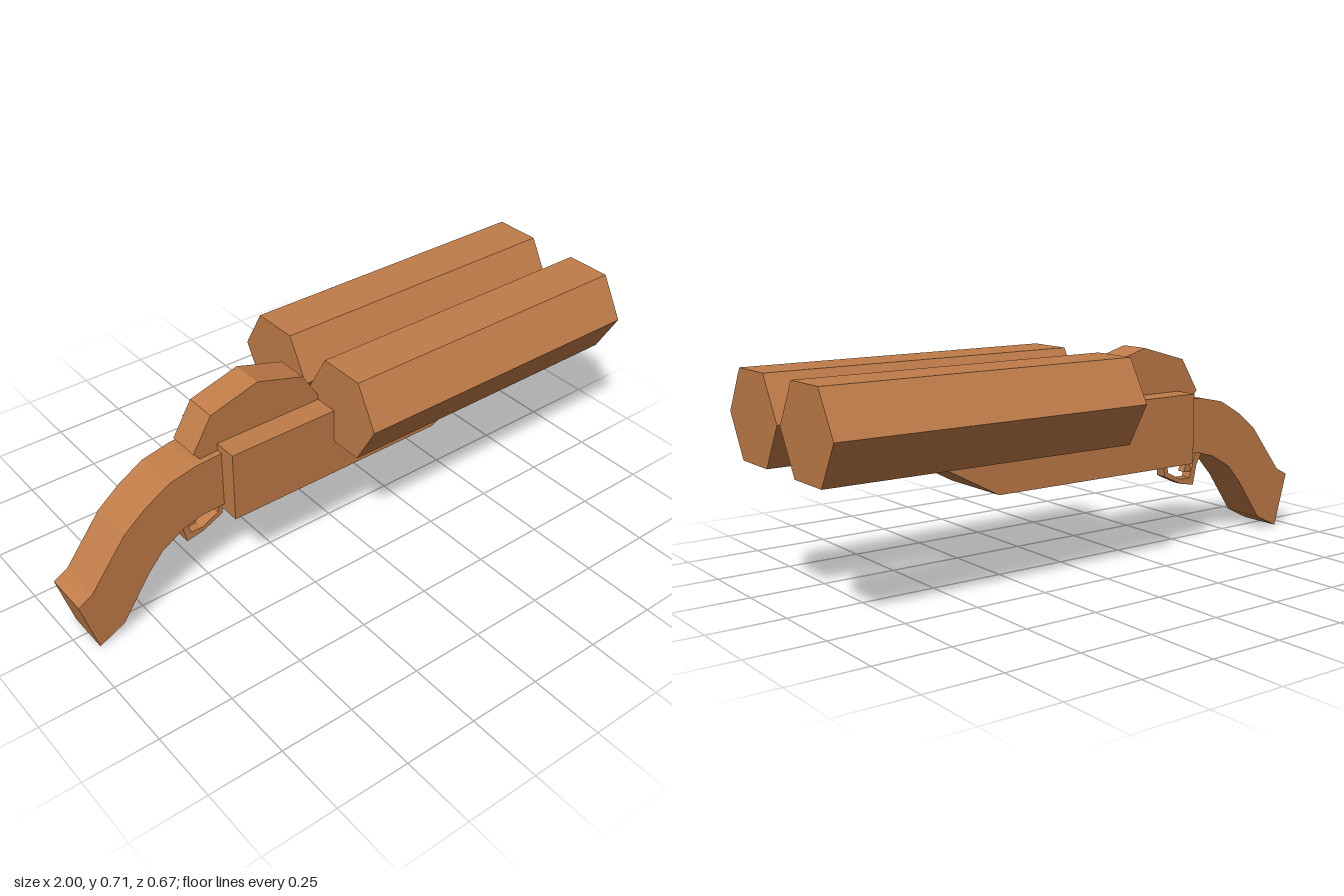
import * as THREE from 'three';

export function createModel() {
  const model = new THREE.Group();
  const wood = new THREE.MeshStandardMaterial({ color: 0xc07c48 });
  wood.name = 'warm brown';

  // Side profile in x/y, extruded evenly about z = 0
  function plate(name, points, width) {
    const shape = new THREE.Shape(points.map(([x, y]) => new THREE.Vector2(x, y)));
    const geometry = new THREE.ExtrudeGeometry(shape, { depth: width, bevelEnabled: false });
    geometry.translate(0, 0, -width / 2);
    const mesh = new THREE.Mesh(geometry, wood);
    mesh.name = name;
    model.add(mesh);
  }

  // Receiver with a sloping underside at the front
  plate('receiver', [
    [-0.47, 0.303], [0.34, 0.303], [0.565, 0.423], [0.565, 0.546], [-0.47, 0.546],
  ], 0.272);

  // Curved grip
  plate('grip', [
    [-1, 0.19], [-0.947, 0.002], [-0.856, 0.047], [-0.754, 0.195], [-0.7, 0.256],
    [-0.62, 0.303], [-0.55, 0.323], [-0.46, 0.325], [-0.46, 0.521], [-0.561, 0.516],
    [-0.658, 0.495], [-0.743, 0.446], [-0.823, 0.382], [-0.95, 0.217],
  ], 0.152);

  // Angular hump above the receiver
  plate('breechHump', [
    [-0.53, 0.515], [-0.08, 0.515], [-0.08, 0.555], [-0.145, 0.656],
    [-0.315, 0.706], [-0.487, 0.656], [-0.556, 0.542],
  ], 0.11);

  // Open loop around the trigger
  plate('triggerGuard', [
    [-0.62, 0.308], [-0.595, 0.265], [-0.58, 0.194], [-0.52, 0.205], [-0.445, 0.24],
    [-0.435, 0.308], [-0.452, 0.308], [-0.46, 0.252], [-0.52, 0.222], [-0.562, 0.222],
    [-0.577, 0.27], [-0.59, 0.312],
  ], 0.04);

  plate('trigger', [
    [-0.548, 0.33], [-0.562, 0.295], [-0.572, 0.243], [-0.54, 0.245],
    [-0.553, 0.285], [-0.535, 0.33],
  ], 0.03);

  // Pair of six-sided barrels with flat tops
  const barrel = new THREE.CylinderGeometry(0.162, 0.162, 1.085, 6).toNonIndexed();
  barrel.rotateZ(Math.PI / 2);
  barrel.computeVertexNormals();
  for (const side of [-1, 1]) {
    const mesh = new THREE.Mesh(barrel, wood);
    mesh.name = side > 0 ? 'frontBarrel' : 'rearBarrel';
    mesh.position.set(0.4575, 0.57, side * 0.1715);
    model.add(mesh);
  }

  return model;
}
